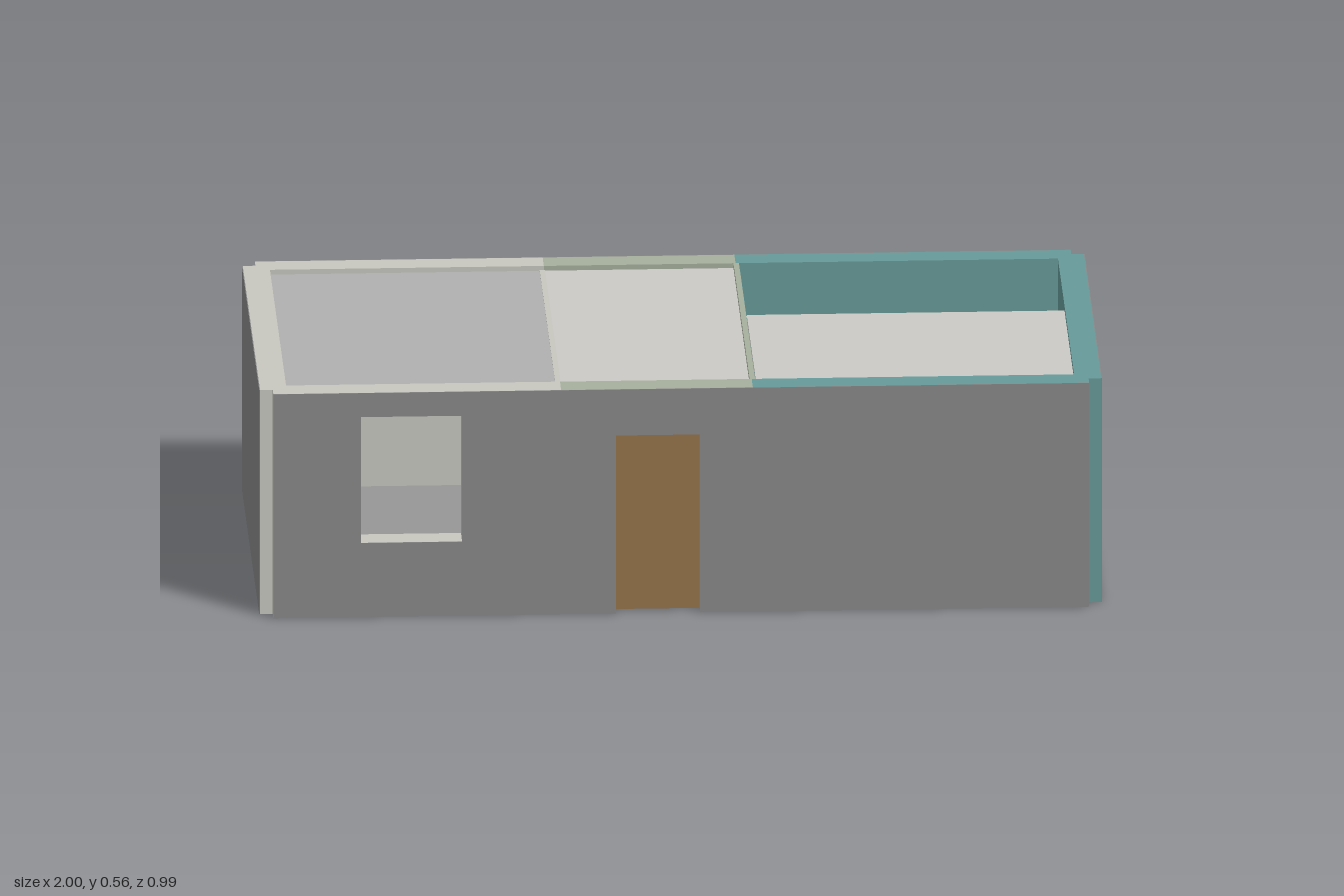
import * as THREE from 'three';

const H = 0.56;
const COLORS = {
  outer: 0x888888, pale: 0xc8c8c0, green: 0xa6b09e, teal: 0x669a98,
  wood: 0x96744c, floor: 0x8f7050, tile: 0x969696,
  ceiling: 0xcccac5, greyCeiling: 0xb0b0b0, slope: 0xd8d6d0,
  red: 0xb06060, purple: 0x9a5078, beige: 0xd8bfa6,
};

const materials = {};
function mat(key) {
  if (!materials[key]) {
    materials[key] = new THREE.MeshStandardMaterial({ color: COLORS[key] });
  }
  return materials[key];
}

// Box given by its min and max corners
function box(parent, name, color, [x0, x1], [y0, y1], [z0, z1]) {
  const mesh = new THREE.Mesh(new THREE.BoxGeometry(x1 - x0, y1 - y0, z1 - z0), mat(color));
  mesh.position.set((x0 + x1) / 2, (y0 + y1) / 2, (z0 + z1) / 2);
  mesh.name = name;
  parent.add(mesh);
  return mesh;
}

// Wall outline from a to b; an opening reaching y = 0 becomes a notch, others a hole
function wallShape(a, b, opening) {
  const shape = new THREE.Shape().moveTo(a, 0);
  if (opening) {
    const [x0, x1, y0, y1] = opening;
    if (y0 === 0) {
      shape.lineTo(x0, 0).lineTo(x0, y1).lineTo(x1, y1).lineTo(x1, 0);
    } else {
      shape.holes.push(new THREE.Path().moveTo(x0, y0).lineTo(x0, y1)
        .lineTo(x1, y1).lineTo(x1, y0).closePath());
    }
  }
  shape.lineTo(b, 0).lineTo(b, H).lineTo(a, H).closePath();
  return shape;
}

// Painted wall with a thin grey outside skin, set at distance d from the centre
function wall(parent, name, color, a, b, d, thickness, angle, opening) {
  const group = new THREE.Group();
  group.name = name;
  const shape = wallShape(a, b, opening);
  const layers = [['wallCore', color, 0, thickness - 0.002], ['outerSkin', 'outer', thickness - 0.002, 0.002]];
  for (const [part, key, start, depth] of layers) {
    const geo = new THREE.ExtrudeGeometry(shape, { depth, bevelEnabled: false });
    const mesh = new THREE.Mesh(geo, mat(key));
    mesh.position.z = d - thickness + start;
    mesh.name = part;
    group.add(mesh);
  }
  group.rotation.y = angle;
  parent.add(group);
}

export function createModel() {
  const house = new THREE.Group();
  house.name = 'house';

  // Front and back walls, one painted section per room
  const rooms = [
    ['pale', -0.968, -0.285, [-0.76, -0.52, 0.185, 0.5]],
    ['green', -0.285, 0.17, [-0.155, 0.045, 0, 0.445]],
    ['teal', 0.17, 0.968, null],
  ];
  for (const [color, a, b, opening] of rooms) {
    wall(house, 'frontWall', color, a, b, 0.495, 0.065, 0, opening);
    wall(house, 'backWall', color, -b, -a, 0.495, 0.065, Math.PI, null);
  }

  // End walls; their ends stop short and leave notched corners
  wall(house, 'leftEndWall', 'teal', -0.462, 0.462, 1, 0.065, Math.PI / 2, [-0.14, 0.095, 0.185, 0.485]);
  wall(house, 'rightEndWall', 'pale', -0.462, 0.462, 1, 0.065, -Math.PI / 2, null);

  // Partitions between rooms
  const sides = [-0.43, 0.43];
  box(house, 'tealRoomPartition', 'green', [0.165, 0.178], [0, H], sides);
  box(house, 'tealPartitionPaint', 'teal', [0.178, 0.181], [0, H - 0.02], sides);
  const x = [-0.295, -0.282];
  box(house, 'smallRoomPartition', 'pale', x, [0, H - 0.01], [-0.43, -0.15]);
  box(house, 'smallRoomPartition', 'pale', x, [0, H - 0.01], [0.12, 0.43]);
  box(house, 'partitionLintel', 'pale', x, [0.445, H - 0.01], [-0.15, 0.12]);

  // Doors
  box(house, 'frontDoor', 'wood', [-0.155, 0.045], [0.002, 0.445], [0.45, 0.468]);
  box(house, 'innerDoor', 'wood', [-0.292, -0.285], [0, 0.445], [-0.15, 0.12]);

  // Floors
  box(house, 'smallRoomFloor', 'tile', [-0.935, -0.295], [0, 0.015], sides);
  box(house, 'hallFloor', 'floor', [-0.282, 0.165], [0, 0.015], sides);
  box(house, 'tealRoomFloor', 'floor', [0.181, 0.935], [0, 0.015], sides);

  // Rugs
  box(house, 'redRug', 'red', [0.46, 0.92], [-0.0005, 0.02], [-0.1, 0.22]);
  box(house, 'hallRug', 'purple', [-0.19, 0.07], [-0.0005, 0.02], [-0.28, 0.28]);

  // Flat ceilings
  const top = [H - 0.03, H - 0.012];
  box(house, 'smallRoomCeiling', 'greyCeiling', [-0.935, -0.295], top, sides);
  box(house, 'hallCeiling', 'ceiling', [-0.282, 0.165], top, sides);
  box(house, 'tealRoomCeiling', 'ceiling', [0.181, 0.935], top, [-0.08, 0.43]);

  // Sloping ceiling falling from the flat one to the back wall
  const rise = 0.26, run = 0.35;
  const slope = box(house, 'slopingCeiling', 'slope', [0.181, 0.93],
    [0, 0.012], [0, Math.hypot(rise, run)]);
  slope.position.set(0.5555, H - 0.02 - rise / 2, -0.08 - run / 2);
  slope.rotation.x = -Math.atan2(rise, run);

  // Low furniture under the slope
  box(house, 'bedsideBox', 'beige', [0.72, 0.78], [0.015, 0.1], [-0.36, -0.3]);
  box(house, 'woodenStool', 'wood', [0.65, 0.71], [0.015, 0.07], [-0.36, -0.3]);
  return house;
}
